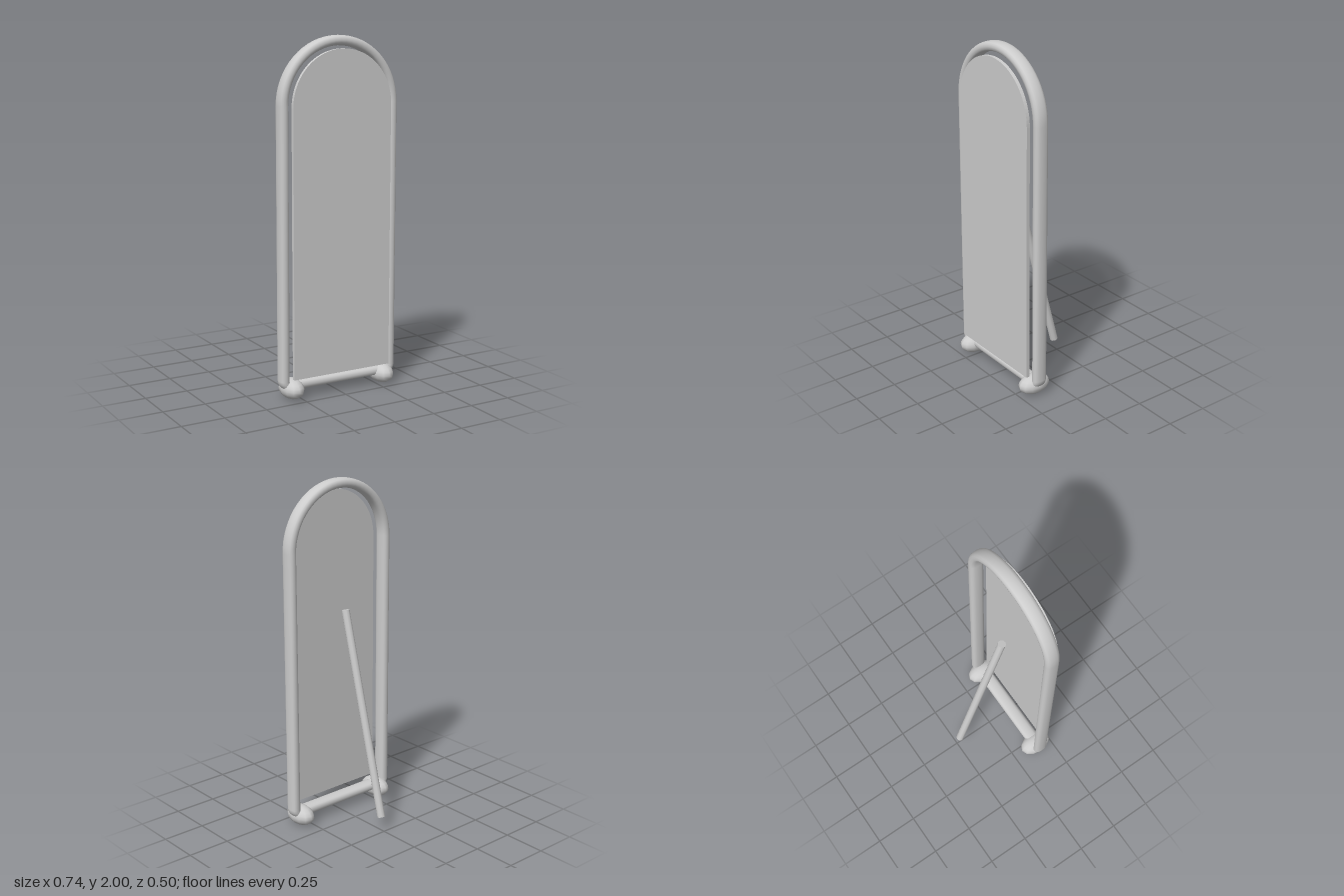
import * as THREE from 'three';

const grey = new THREE.MeshStandardMaterial({ name: 'light grey', color: 0xcccccc });

function add(group, name, geometry) {
  const mesh = new THREE.Mesh(geometry, grey);
  mesh.name = name;
  group.add(mesh);
  return mesh;
}

// Closed arched rail: a soft oval section swept around arch, posts and bottom bar
function frameGeometry() {
  const path = [];
  const arc = (cx, cy, r, from, to, steps) => {
    for (let i = 0; i <= steps; i++) {
      const t = from + ((to - from) * i) / steps;
      path.push([cx, cy, r, Math.cos(t), Math.sin(t)]);
    }
  };
  const P = Math.PI;
  arc(0, 1.63, 0.342, 0, P, 32);
  arc(-0.312, 0.111, 0.03, P, 1.5 * P, 5);
  arc(0.312, 0.111, 0.03, 1.5 * P, 2 * P, 5);

  const sides = 16, a = 0.028, b = 0.042, power = 2 / 2.5;
  const soft = (v) => Math.sign(v) * Math.pow(Math.abs(v), power);
  const positions = [], index = [];
  path.forEach(([cx, cy, r, nx, ny], i) => {
    const next = (i + 1) % path.length;
    for (let j = 0; j < sides; j++) {
      const t = (j / sides) * 2 * P;
      const d = r + a * soft(Math.cos(t));
      positions.push(cx + nx * d, cy + ny * d, 0.15 + b * soft(Math.sin(t)));
      const k = (j + 1) % sides;
      const A = i * sides + j, B = next * sides + j;
      const C = next * sides + k, D = i * sides + k;
      index.push(A, B, D, B, C, D);
    }
  });
  const g = new THREE.BufferGeometry();
  g.setAttribute('position', new THREE.Float32BufferAttribute(positions, 3));
  g.setIndex(index);
  g.computeVertexNormals();
  return g;
}

export function createModel() {
  const model = new THREE.Group();
  model.name = 'standing mirror';

  add(model, 'frame', frameGeometry());

  // Arched mirror panel
  const shape = new THREE.Shape();
  shape.moveTo(-0.307, 0.125);
  shape.lineTo(0.307, 0.125);
  shape.lineTo(0.307, 1.623);
  shape.absarc(0, 1.623, 0.307, 0, Math.PI, false);
  shape.closePath();
  const panel = add(model, 'mirrorPanel', new THREE.ExtrudeGeometry(shape, {
    depth: 0.02, bevelEnabled: false, curveSegments: 24,
  }));
  panel.position.z = 0.193;

  // Oval feet at both lower corners
  for (const side of [-1, 1]) {
    const foot = add(model, side > 0 ? 'leftFoot' : 'rightFoot', new THREE.SphereGeometry(1, 12, 10));
    foot.scale.set(0.064, 0.058, 0.099);
    foot.position.set(side * 0.293, 0.061, 0.15);
  }

  // Leaning back strut
  const top = new THREE.Vector3(0, 1.262, 0.084);
  const bottom = new THREE.Vector3(0, 0.088, -0.225);
  const along = top.clone().sub(bottom);
  const strut = add(model, 'backStrut', new THREE.CylinderGeometry(0.0235, 0.0235, along.length(), 10));
  strut.position.copy(top).add(bottom).multiplyScalar(0.5);
  strut.quaternion.setFromUnitVectors(new THREE.Vector3(0, 1, 0), along.normalize());

  return model;
}
